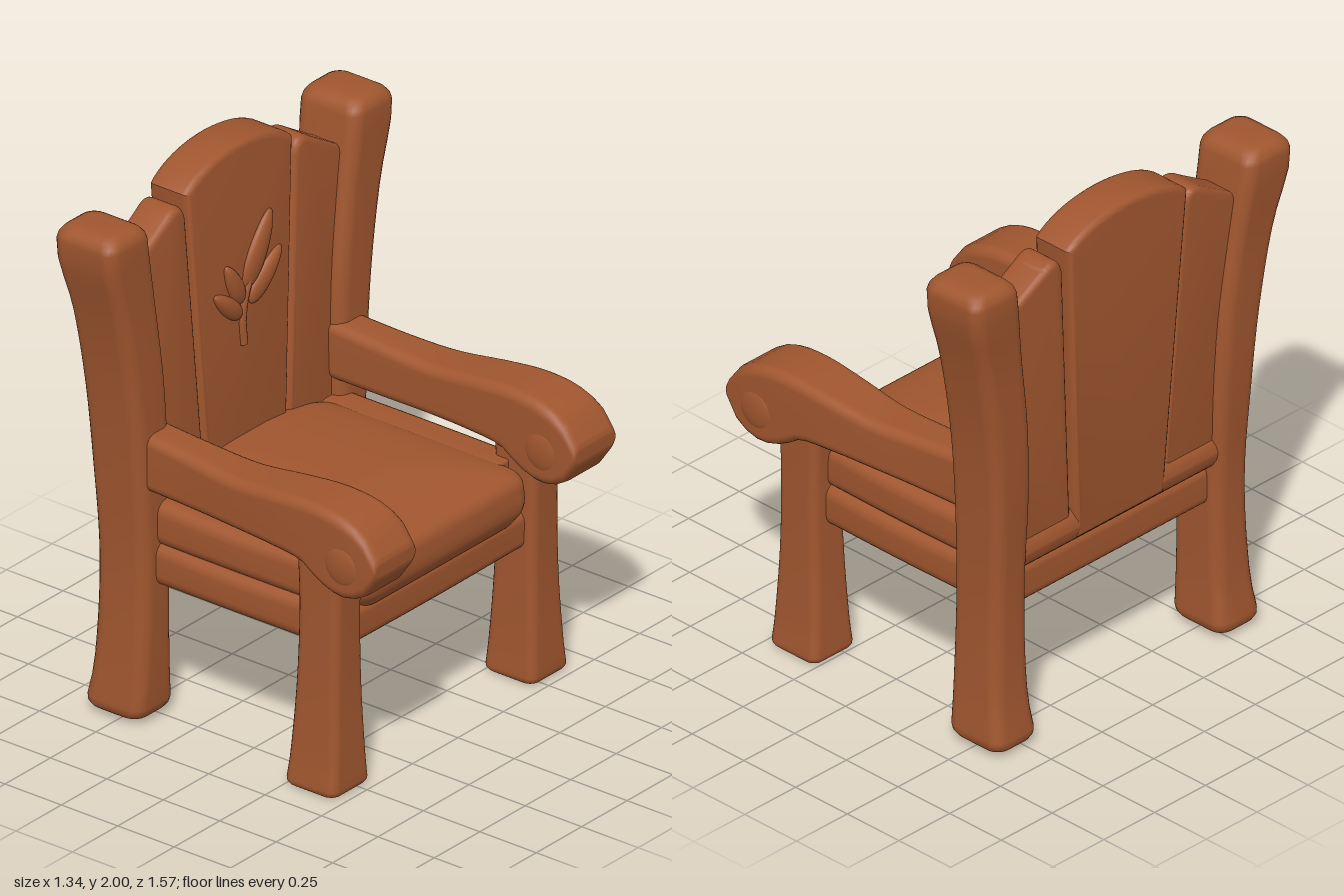
import * as THREE from 'three';
import { toCreasedNormals } from 'three/addons/utils/BufferGeometryUtils.js';

const wood = new THREE.MeshStandardMaterial({ color: 0xa0562f });
wood.name = 'carved wood';

function mesh(name, geo) {
  const m = new THREE.Mesh(geo, wood);
  m.name = name;
  return m;
}

// Smooth interpolation of section rows [t, aMin, aMax, bMin, bMax]
function sectionAt(rows, t) {
  let i = 0;
  while (i < rows.length - 2 && t > rows[i + 1][0]) i++;
  const p = rows[i], q = rows[i + 1], h = q[0] - p[0], u = (t - p[0]) / h;
  const slope = (k, c) => {
    const l = rows[Math.max(k - 1, 0)], r = rows[Math.min(k + 1, rows.length - 1)];
    return (r[c] - l[c]) / (r[0] - l[0]);
  };
  return [1, 2, 3, 4].map(c =>
    p[c] * (2 * u ** 3 - 3 * u * u + 1) + q[c] * (3 * u * u - 2 * u ** 3) +
    h * slope(i, c) * (u ** 3 - 2 * u * u + u) + h * slope(i + 1, c) * (u ** 3 - u * u));
}

// Loft rounded rectangles along an axis, with rounded ends.
// Axis y: a = z, b = x.  Axis x: a = y, b = z.  Axis z: a = x, b = y.
function loft(name, axis, rows, r, end) {
  const t0 = rows[0][0], t1 = rows[rows.length - 1][0], stations = [], N = 4, M = 24;
  for (let j = 0; j < N; j++) {
    const f = j / N * Math.PI / 2;
    stations.push([t0 + end * (1 - Math.cos(f)), end * (1 - Math.sin(f))]);
  }
  for (let j = 0; j <= M; j++) stations.push([t0 + end + (t1 - t0 - 2 * end) * j / M, 0]);
  for (let j = N - 1; j >= 0; j--) {
    const f = j / N * Math.PI / 2;
    stations.push([t1 - end * (1 - Math.cos(f)), end * (1 - Math.sin(f))]);
  }
  const pos = [], idx = [], C = 5, n = 4 * (C + 1);
  const put = (a, b, t) => pos.push(...(axis === 'y' ? [b, t, a] : axis === 'x' ? [t, a, b] : [a, b, t]));
  const mids = [];
  for (const [t, inset] of stations) {
    const [a0, a1, b0, b1] = sectionAt(rows, t);
    const ca = (a0 + a1) / 2, cb = (b0 + b1) / 2;
    const ha = Math.max((a1 - a0) / 2 - inset, 0.005), hb = Math.max((b1 - b0) / 2 - inset, 0.005);
    const rr = Math.min(r, ha, hb);
    mids.push([ca, cb, t]);
    for (let k = 0; k < 4; k++) {
      const sa = k === 0 || k === 3 ? 1 : -1, sb = k < 2 ? 1 : -1;
      for (let c = 0; c <= C; c++) {
        const f = (k + c / C) * Math.PI / 2;
        put(ca + sa * (ha - rr) + rr * Math.cos(f), cb + sb * (hb - rr) + rr * Math.sin(f), t);
      }
    }
  }
  const S = stations.length;
  put(...mids[0]);
  put(...mids[S - 1]);
  for (let i = 0; i < n; i++) {
    const j = (i + 1) % n;
    for (let s = 0; s < S - 1; s++) {
      const a = s * n + i, b = s * n + j;
      idx.push(a, b, b + n, a, b + n, a + n);
    }
    idx.push(S * n, j, i, S * n + 1, (S - 1) * n + i, (S - 1) * n + j);
  }
  const g = new THREE.BufferGeometry();
  g.setAttribute('position', new THREE.Float32BufferAttribute(pos, 3));
  g.setIndex(idx);
  g.computeVertexNormals();
  return mesh(name, g);
}

// Back slat: bevelled plank outline (drawn facing +x), leaning slightly backwards
function slat(name, shape, depth) {
  const bevel = 0.025;
  const g = new THREE.ExtrudeGeometry(shape, {
    depth: depth - 2 * bevel, bevelThickness: bevel, bevelSize: bevel, bevelOffset: -bevel,
    bevelSegments: 4, curveSegments: 20,
  });
  g.rotateY(Math.PI / 2);
  const p = g.attributes.position;
  for (let i = 0; i < p.count; i++) {
    p.setX(i, p.getX(i) - 0.43 - depth + bevel - (p.getY(i) - 0.85) * 0.03);
  }
  return mesh(name, toCreasedNormals(g, 0.7));
}

export function createModel() {
  const chair = new THREE.Group();
  chair.name = 'armchair';

  for (const s of [1, -1]) {
    const side = s > 0 ? 'left' : 'right';
    const z = (lo, hi) => (s > 0 ? [lo, hi] : [-hi, -lo]);

    // Tall back posts, flaring outwards at the top
    chair.add(loft(side + 'BackPost', 'y', [
      [0.01, ...z(0.44, 0.66), -0.65, -0.39],
      [0.2, ...z(0.455, 0.64), -0.62, -0.385],
      [0.6, ...z(0.46, 0.625), -0.61, -0.385],
      [1.0, ...z(0.46, 0.64), -0.63, -0.39],
      [1.3, ...z(0.475, 0.67), -0.64, -0.395],
      [1.6, ...z(0.515, 0.725), -0.65, -0.4],
      [1.82, ...z(0.55, 0.785), -0.67, -0.4],
      [1.935, ...z(0.565, 0.785), -0.67, -0.4]], 0.05, 0.055));

    // Front legs
    chair.add(loft(side + 'FrontLeg', 'y', [
      [0.0, ...z(0.44, 0.655), 0.245, 0.475],
      [0.12, ...z(0.45, 0.64), 0.255, 0.47],
      [0.4, ...z(0.46, 0.625), 0.272, 0.46],
      [0.7, ...z(0.465, 0.62), 0.28, 0.46],
      [0.95, ...z(0.465, 0.62), 0.27, 0.47]], 0.035, 0.03));

    // Armrest swelling into a scrolled end
    chair.add(loft(side + 'Armrest', 'x', [
      [-0.45, 0.9, 1.125, ...z(0.45, 0.6)],
      [-0.2, 0.9, 1.108, ...z(0.45, 0.615)],
      [0.0, 0.903, 1.1, ...z(0.447, 0.637)],
      [0.2, 0.9, 1.12, ...z(0.44, 0.655)],
      [0.33, 0.885, 1.132, ...z(0.437, 0.662)],
      [0.41, 0.835, 1.132, ...z(0.435, 0.665)],
      [0.5, 0.808, 1.12, ...z(0.432, 0.668)],
      [0.58, 0.825, 1.09, ...z(0.43, 0.668)],
      [0.64, 0.875, 1.04, ...z(0.432, 0.668)],
      [0.667, 0.93, 0.99, ...z(0.435, 0.665)]], 0.04, 0.008));
    for (const zz of [0.44, 0.66]) {
      const knob = mesh(side + 'ScrollKnob', new THREE.SphereGeometry(0.075, 24, 16));
      knob.scale.z = 0.25;
      knob.position.set(0.52, 0.94, s * zz);
      chair.add(knob);
    }

    // Side rails under the arm
    const rail = (name, y0, y1, out) => chair.add(loft(side + name, 'x', [
      [-0.45, y0, y1, ...z(0.38, out)],
      [-0.05, y0 + 0.005, y1 - 0.005, ...z(0.38, out + 0.01)],
      [0.35, y0, y1, ...z(0.38, out)]], 0.05, 0.01));
    rail('LowerSideRail', 0.52, 0.69, 0.56);
    rail('UpperSideRail', 0.67, 0.845, 0.55);

    // Outer back slat with a sloping top
    const sh = new THREE.Shape();
    sh.moveTo(s * 0.222, 0.7);
    sh.lineTo(s * 0.5, 0.7);
    sh.lineTo(s * 0.5, 1.2);
    sh.lineTo(s * 0.58, 1.75);
    sh.lineTo(s * 0.4, 1.86);
    sh.quadraticCurveTo(s * 0.32, 1.92, s * 0.297, 1.83);
    sh.closePath();
    chair.add(slat(side + 'OuterSlat', sh, 0.155));
  }

  // Arched middle slat
  const mid = new THREE.Shape();
  mid.moveTo(-0.215, 0.7);
  mid.lineTo(0.215, 0.7);
  mid.lineTo(0.295, 1.91);
  mid.bezierCurveTo(0.17, 2.03, -0.17, 2.03, -0.295, 1.91);
  mid.closePath();
  chair.add(slat('middleSlat', mid, 0.175));

  // Seat base, front rail and back rails
  chair.add(loft('seatBase', 'x', [[-0.5, 0.54, 0.7, -0.48, 0.48], [0.36, 0.54, 0.7, -0.48, 0.48]], 0.02, 0.01));
  const cross = (name, x0, x1, y0, y1, r) => chair.add(loft(name, 'z',
    [[-0.5, x0, x1, y0, y1], [0, x0, x1 + 0.005, y0, y1], [0.5, x0, x1, y0, y1]], r, 0.01));
  cross('frontRail', 0.26, 0.42, 0.515, 0.665, 0.04);
  cross('lowerBackRail', -0.56, -0.42, 0.52, 0.68, 0.04);
  cross('upperBackRail', -0.6, -0.42, 0.665, 0.83, 0.08);

  // Domed seat cushion
  chair.add(loft('seatCushion', 'y', [
    [0.645, -0.43, 0.43, -0.45, 0.425],
    [0.7, -0.455, 0.455, -0.45, 0.458],
    [0.77, -0.46, 0.46, -0.45, 0.46],
    [0.82, -0.45, 0.45, -0.45, 0.445],
    [0.845, -0.41, 0.41, -0.45, 0.4],
    [0.87, -0.3, 0.3, -0.45, 0.28],
    [0.886, -0.13, 0.13, -0.45, 0.1]], 0.07, 0.004));

  // Carved sprig on the middle slat: [z, y] from base to tip, half width
  const sprig = new THREE.Group();
  sprig.name = 'carvedSprig';
  const faceX = y => -0.43 - (y - 0.85) * 0.03;
  const leaves = [
    [-0.01, 1.43, -0.15, 1.69, 0.05],
    [-0.03, 1.37, -0.2, 1.53, 0.042],
    [0.01, 1.39, 0.1, 1.56, 0.036],
    [0.02, 1.34, 0.165, 1.47, 0.034]];
  for (const [z0, y0, z1, y1, w] of leaves) {
    const len = Math.hypot(z1 - z0, y1 - y0), g = new THREE.SphereGeometry(1, 20, 16);
    const p = g.attributes.position;
    for (let i = 0; i < p.count; i++) {
      const k = 1 - 0.25 * p.getY(i); // pointed towards the tip
      p.setXYZ(i, p.getX(i) * 0.026, p.getY(i) * len / 2, p.getZ(i) * w * k);
    }
    g.computeVertexNormals();
    const leaf = mesh('leaf', g);
    leaf.rotation.x = Math.atan2(z1 - z0, y1 - y0);
    leaf.position.set(faceX((y0 + y1) / 2), (y0 + y1) / 2, (z0 + z1) / 2);
    sprig.add(leaf);
  }
  const stem = [[0.01, 1.23], [0.015, 1.32], [0.0, 1.4], [-0.03, 1.47]]
    .map(([z, y]) => new THREE.Vector3(faceX(y), y, z));
  sprig.add(mesh('stem', new THREE.TubeGeometry(new THREE.CatmullRomCurve3(stem), 16, 0.016, 8)));
  chair.add(sprig);

  return chair;
}
